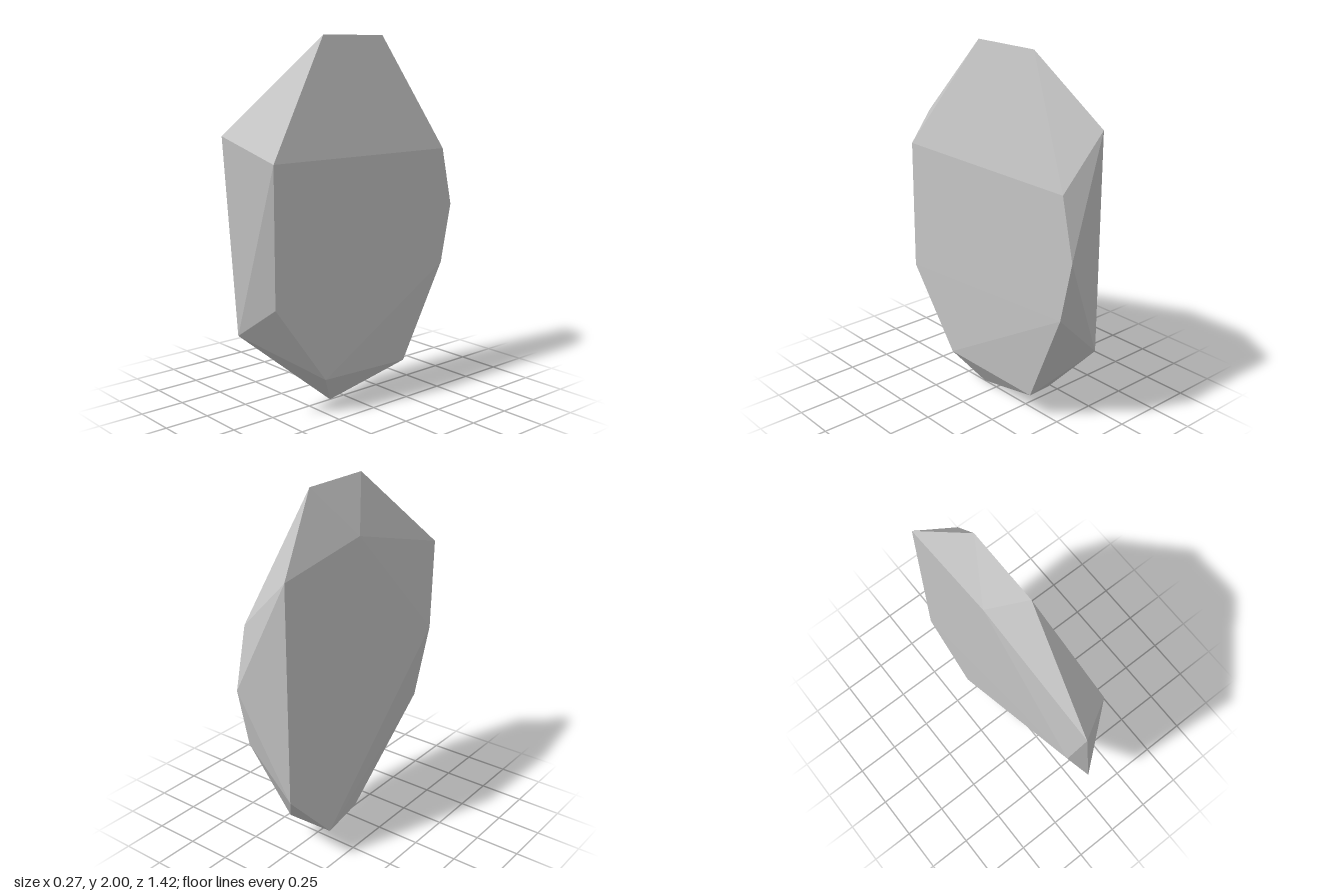
import * as THREE from 'three';
import { ConvexGeometry } from 'three/addons/geometries/ConvexGeometry.js';

export function createModel() {
  const group = new THREE.Group();
  group.name = 'stoneSlab';
  const stone = new THREE.MeshStandardMaterial({ color: 0xc4c4c4 });
  stone.name = 'light grey stone';

  // Corners of the chipped slab, as [x, y, z]
  const corners = [
    // top ridge and lowest point
    [0, 2, 0.14], [0, 2, -0.28], [0, 0, 0.1],
    // front chips
    [-0.105, 1.505, 0.712], [0, 0.497, 0.71],
    // left broad face
    [0.133, 1.373, 0.572], [0.133, 0.63, 0.572], [0.129, 0.183, 0.24],
    [0.09, 0.146, -0.38], [0.133, 0.7, -0.638], [0.133, 1.035, -0.71], [0.133, 1.365, -0.635],
    // right broad face
    [-0.135, 1.64, -0.637], [-0.135, 1.725, -0.05], [-0.135, 1.005, 0.642],
    [-0.126, 0.085, -0.3], [-0.135, 0.44, -0.637],
  ];

  // Flat-sided hull through the corners
  const slab = new THREE.Mesh(
    new ConvexGeometry(corners.map((c) => new THREE.Vector3(...c))),
    stone,
  );
  slab.name = 'stone';
  group.add(slab);
  return group;
}
